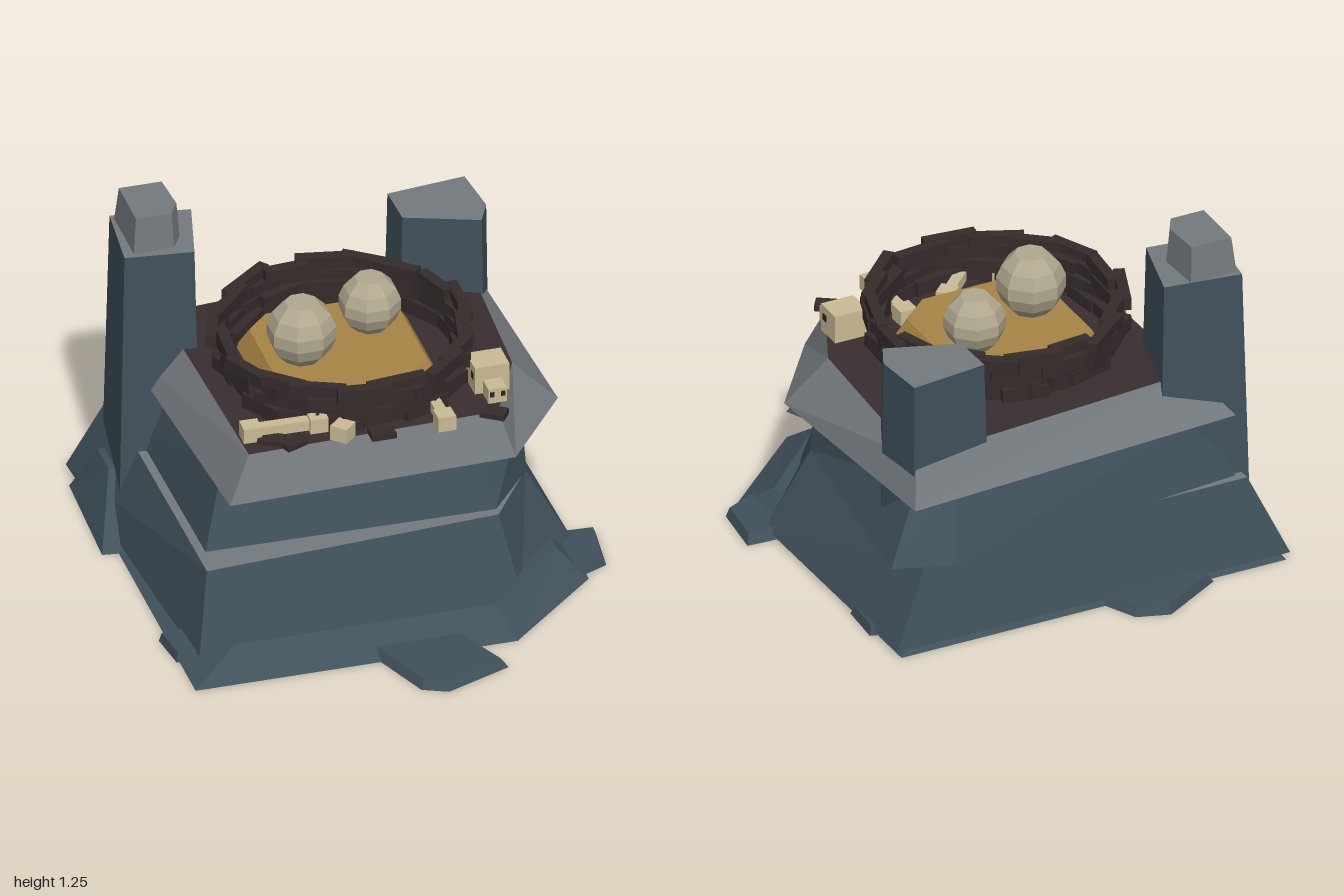
import * as THREE from 'three';

const paint = (name, color) => Object.assign(new THREE.MeshStandardMaterial({ color }), { name });

// Joins two outlines of [x, z, y?] corners (front left first, counter-clockwise from above).
// Group 0 is the sides and underside, group 1 the top face.
function loft(bottom, y0, top, y1) {
  const b = bottom.map(([x, z, y = y0]) => [x, y, z]);
  const t = top.map(([x, z, y = y1]) => [x, y, z]);
  const n = b.length, pos = [];
  const tri = (...corners) => corners.forEach(c => pos.push(...c));
  for (let i = 0; i < n; i++) {
    const j = (i + 1) % n;
    tri(b[i], b[j], t[j]);
    tri(b[i], t[j], t[i]);
  }
  for (let i = 1; i < n - 1; i++) tri(b[0], b[i + 1], b[i]);
  const sides = pos.length / 3;
  for (let i = 1; i < n - 1; i++) tri(t[0], t[i], t[i + 1]);
  const g = new THREE.BufferGeometry();
  g.setAttribute('position', new THREE.Float32BufferAttribute(pos, 3));
  g.addGroup(0, sides, 0);
  g.addGroup(sides, pos.length / 3 - sides, 1);
  g.computeVertexNormals();
  return g;
}

// Shrinks an outline towards its middle
function inset(points, k) {
  const cx = points.reduce((s, p) => s + p[0], 0) / points.length;
  const cz = points.reduce((s, p) => s + p[1], 0) / points.length;
  return points.map(([x, z]) => [cx + (x - cx) * k, cz + (z - cz) * k]);
}

function seeded(seed) {
  return () => (seed = (seed * 16807) % 2147483647) / 2147483647;
}

export function createModel() {
  const model = new THREE.Group();
  model.name = 'cliffNest';
  const slate = paint('slate', 0x3f515b);
  const grey = paint('greyStone', 0x74797e);
  const earth = paint('earth', 0x3a2e2f);
  const wood = paint('darkWood', 0x352b2b);
  const straw = paint('straw', 0xa88445);
  const shell = paint('eggshell', 0xb0a88f);
  const bone = paint('bone', 0xcabb94);
  const hollow = paint('hollow', 0x2b2422);

  const add = (name, geometry, material, parent = model) => {
    const mesh = new THREE.Mesh(geometry, material);
    mesh.name = name;
    parent.add(mesh);
    return mesh;
  };
  const box = (name, size, at, material, turn = 0, parent = model) => {
    const mesh = add(name, new THREE.BoxGeometry(...size), material, parent);
    mesh.position.set(...at);
    mesh.rotation.y = turn;
    return mesh;
  };

  // Cliff: sloping foot, two tiers and an overhanging cap
  add('foot', loft(
    [[-0.8, 0.73], [0.39, 0.73], [0.75, 0.4], [0.73, -0.84], [-0.8, -0.84]], 0,
    [[-0.62, 0.61, 0.09], [0.34, 0.61, 0.09], [0.66, 0.3, 0.085], [0.69, -0.8], [-0.75, -0.8]], 0.035), slate);
  add('lowerTier', loft(
    [[-0.74, 0.57], [0.48, 0.48], [0.76, 0.165], [0.74, -0.83], [-0.82, -0.83]], 0.02,
    [[-0.68, 0.465], [0.42, 0.39], [0.595, 0.13], [0.585, -0.75], [-0.69, -0.75]], 0.32), [slate, grey]);
  add('upperTier', loft(
    [[-0.65, 0.34], [0.42, 0.355], [0.6, 0.13], [0.725, -0.75], [0.5, -0.83], [-0.66, -0.72]], 0.315,
    [[-0.57, 0.26], [0.35, 0.27], [0.575, 0.14], [0.575, -0.66], [0.45, -0.72], [-0.56, -0.66]], 0.58), slate);
  add('cap', loft(
    [[-0.59, 0.45], [0.475, 0.42], [0.73, 0.08], [0.66, -0.81], [-0.66, -0.72]], 0.567,
    [[-0.5, 0.38], [0.43, 0.35], [0.57, 0.05], [0.61, -0.72], [-0.53, -0.62]], 0.725), [grey, earth]);

  // Rock towers at the back corners
  const tall = [[-0.73, -0.4], [-0.48, -0.37], [-0.41, -0.65], [-0.7, -0.69]];
  add('tallTower', loft(inset(tall, 1.16), 0.12, tall, 1.12), [slate, grey]);
  const knob = [[-0.69, -0.42], [-0.54, -0.42], [-0.5, -0.49], [-0.51, -0.665], [-0.69, -0.665]];
  add('tallTowerTip', loft(knob, 1.12, inset(knob, 0.88), 1.255), grey);
  const short = [[0.335, -0.53], [0.6, -0.435], [0.645, -0.53], [0.625, -0.735], [0.33, -0.7]];
  const shortFoot = inset(short, 1.05).map(([x, z], i) => [x, z, i === 2 ? 0.43 : 0.6]);
  add('shortTower', loft(shortFoot, 0.6, short, 1.025), [slate, grey]);

  // Loose rocks round the foot
  add('leftButtress', loft(
    [[-0.86, -0.24], [-0.55, -0.2], [-0.55, -0.7], [-0.84, -0.72]], 0,
    [[-0.765, -0.48], [-0.55, -0.45], [-0.55, -0.62], [-0.765, -0.62]], 0.2), slate);
  const rocks = [
    [[-0.03, 0.95], [0.06, 0.99], [0.31, 0.89], [0.18, 0.6], [-0.15, 0.64]],
    [[0.6, 0.42], [0.7, 0.39], [0.835, 0.33], [0.86, 0.11], [0.68, 0.1]],
    [[-0.45, -0.78], [-0.05, -0.78], [-0.14, -0.96], [-0.26, -1], [-0.5, -0.86]],
    [[0.6, -0.45], [0.75, -0.48], [0.76, -0.65], [0.6, -0.7]],
    [[-0.81, 0.53], [-0.7, 0.55], [-0.7, 0.35], [-0.83, 0.37]],
  ];
  rocks.forEach((r, i) => add('footRock' + (i + 1), loft(r, 0, inset(r, 0.88), 0.037), slate));

  // Nest: rows of rough planks laid round a ring
  const nest = new THREE.Group();
  nest.name = 'nest';
  nest.position.set(-0.015, 0, -0.1);
  model.add(nest);
  const rnd = seeded(41);
  for (let row = 0; row < 4; row++) {
    for (let i = 0; i < 18; i++) {
      const a = ((i + row * 0.5 + rnd() * 0.4) / 18) * Math.PI * 2;
      const r = 0.395 + row * 0.009 + rnd() * 0.04;
      const plank = box('plank', [0.15 + rnd() * 0.09, 0.045 + rnd() * 0.014, 0.04],
        [Math.sin(a) * r, 0.753 + row * 0.043 + rnd() * 0.008, Math.cos(a) * r], wood, a + (rnd() - 0.5) * 0.3, nest);
      plank.rotation.z = (rnd() - 0.5) * 0.06;
    }
  }

  // Raised straw bed
  const bed = [[-0.24, 0.2], [0.17, 0.2], [0.3, 0.08], [0.3, -0.34], [0.2, -0.44], [-0.24, -0.44], [-0.34, -0.34], [-0.34, 0.08]];
  add('strawBed', loft(bed, 0.72, inset(bed, 0.86), 0.8), straw);

  // Round faceted eggs, resting half above the rim
  const egg = (name, x, z, r, h, y) => {
    const profile = [[0, -1], [0.48, -1], [0.84, -0.6], [1, -0.2], [1, 0.2], [0.84, 0.6], [0.48, 1], [0, 1]]
      .map(([px, py]) => new THREE.Vector2(px * r, py * h));
    const g = new THREE.LatheGeometry(profile, 8, Math.PI / 8).toNonIndexed();
    g.computeVertexNormals();
    add(name, g, shell).position.set(x, y, z);
  };
  egg('largeEgg', -0.17, -0.08, 0.125, 0.118, 0.912);
  egg('smallEgg', 0.122, -0.215, 0.112, 0.105, 0.898);

  // Bones: a shaft with a knuckle at either end
  const longBone = (name, x0, z0, x1, z1) => {
    const g = new THREE.Group();
    g.name = name;
    g.position.set((x0 + x1) / 2, 0.757, (z0 + z1) / 2);
    const len = Math.hypot(x1 - x0, z1 - z0);
    g.rotation.y = -Math.atan2(z1 - z0, x1 - x0);
    box('shaft', [len, 0.04, 0.04], [0, 0, 0], bone, 0, g);
    for (const s of [-1, 1]) box('knuckle', [0.066, 0.058, 0.066], [s * len / 2, 0, 0], bone, 0, g);
    model.add(g);
  };
  longBone('leftBone', -0.465, 0.28, -0.22, 0.285);
  longBone('middleBone', -0.15, 0.37, 0.02, 0.2);
  longBone('rightBone', 0.21, 0.16, 0.217, 0.4);

  // Skull with eye and nose hollows
  const skull = new THREE.Group();
  skull.name = 'skull';
  skull.position.set(0.443, 0.73, 0.175);
  model.add(skull);
  box('cranium', [0.128, 0.108, 0.11], [0, 0.056, 0], bone, 0, skull);
  box('snout', [0.068, 0.058, 0.08], [0, 0.028, 0.085], bone, 0, skull);
  for (const s of [-1, 1]) {
    box('eyeHollow', [0.006, 0.026, 0.026], [s * 0.063, 0.066, 0.025], hollow, 0, skull);
    box('noseHollow', [0.016, 0.02, 0.006], [s * 0.02, 0.035, 0.124], hollow, 0, skull);
  }

  // Fallen wood chips
  for (const [x, z, turn] of [[-0.33, 0.36, 0.4], [-0.01, 0.39, 0], [0.41, 0.37, -0.6], [-0.4, 0.32, -0.5]]) {
    box('woodChip', [0.09, 0.022, 0.06], [x, 0.734, z], wood, turn);
  }
  return model;
}
